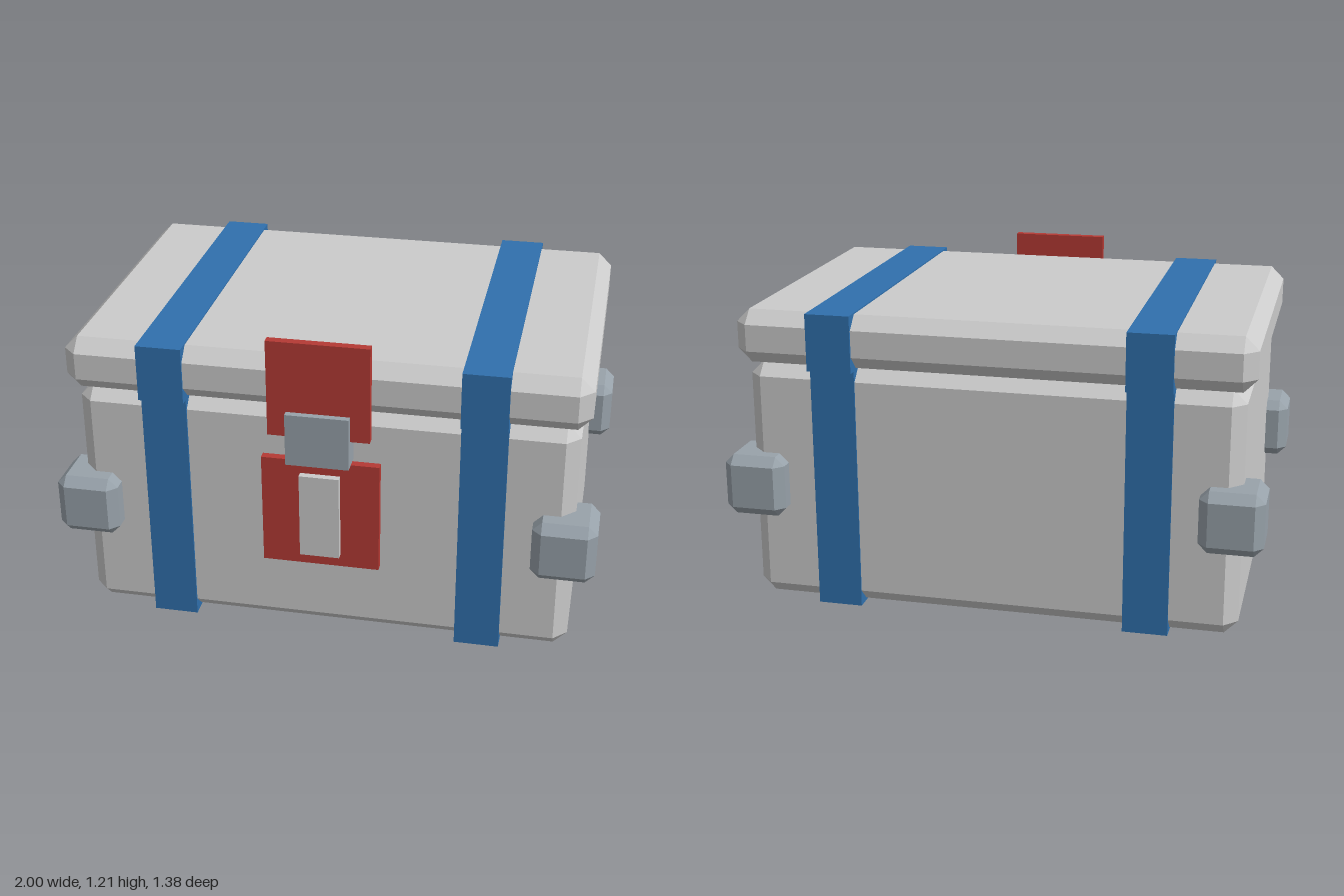
import * as THREE from 'three';
import { ConvexGeometry } from 'three/addons/geometries/ConvexGeometry.js';

const material = (color) => new THREE.MeshStandardMaterial({ color, flatShading: true });

// Box with every edge cut by a flat chamfer c: three points per corner
function chamferBox(w, h, d, c) {
  const points = [];
  for (const sx of [-1, 1]) for (const sy of [-1, 1]) for (const sz of [-1, 1]) {
    const [x, y, z] = [sx * w / 2, sy * h / 2, sz * d / 2];
    points.push(
      new THREE.Vector3(x, y - sy * c, z - sz * c),
      new THREE.Vector3(x - sx * c, y, z - sz * c),
      new THREE.Vector3(x - sx * c, y - sy * c, z),
    );
  }
  return new ConvexGeometry(points);
}

export function createModel() {
  const model = new THREE.Group();
  model.name = 'chest';
  const grey = material(0xcccccc);
  const steel = material(0x98a2aa);
  const blue = material(0x3070ad);
  const red = material(0xb53a34);

  // Adds a box given its [min, max] range on each axis
  function add(name, mat, [x0, x1], [y0, y1], [z0, z1], chamfer = 0) {
    const size = [x1 - x0, y1 - y0, z1 - z0];
    const geometry = chamfer ? chamferBox(...size, chamfer) : new THREE.BoxGeometry(...size);
    const mesh = new THREE.Mesh(geometry, mat);
    mesh.name = name;
    mesh.position.set((x0 + x1) / 2, (y0 + y1) / 2, (z0 + z1) / 2);
    model.add(mesh);
  }

  // Main box and overhanging lid
  add('body', grey, [-0.915, 0.915], [0.01, 0.93], [-0.607, 0.6], 0.05);
  add('lid', grey, [-0.95, 0.95], [0.93, 1.13], [-0.637, 0.632], 0.05);

  for (const [side, s] of [['left', 1], ['right', -1]]) {
    const mirror = (a, b) => (s > 0 ? [a, b] : [-b, -a]);

    // Straps around the body and lid
    add(`${side}BodyStrap`, blue, mirror(0.499, 0.666), [0, 0.922], [-0.612, 0.608]);
    add(`${side}LidStrap`, blue, mirror(0.499, 0.666), [0.922, 1.135], [-0.645, 0.639]);

    // Corner bumpers
    add(`${side}FrontBumper`, steel, mirror(0.768, 1), [0.354, 0.586], [0.453, 0.685], 0.034);
    add(`${side}BackBumper`, steel, mirror(0.768, 1), [0.354, 0.586], [-0.686, -0.454], 0.034);
  }

  // Latch: lid plate, hasp, lock plate and its raised centre
  add('lidPlate', red, [-0.185, 0.185], [0.845, 1.21], [0.633, 0.665]);
  add('hasp', steel, [-0.116, 0.114], [0.743, 0.942], [0.6, 0.69]);
  add('lockPlate', red, [-0.22, 0.214], [0.3, 0.732], [0.6, 0.631]);
  add('lockCentre', grey, [-0.076, 0.071], [0.35, 0.681], [0.62, 0.657]);

  return model;
}
